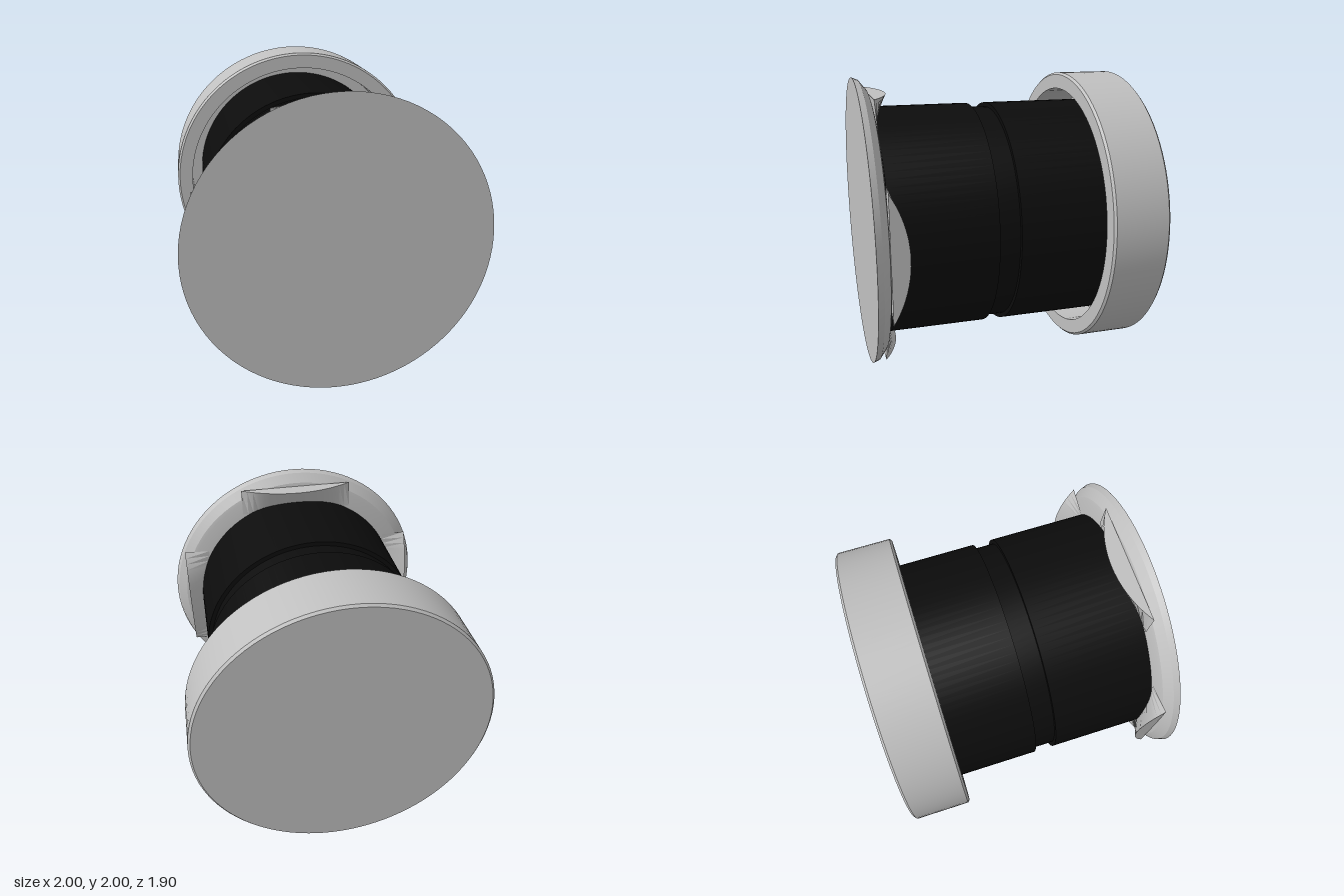
import * as THREE from 'three';
import { toCreasedNormals } from 'three/addons/utils/BufferGeometryUtils.js';

const SEGMENTS = 96;

// Solid of revolution about the z axis; the profile is [radius, z] running from back to front
function turned(name, profile, material) {
  const points = profile.map(([r, z]) => new THREE.Vector2(r, z));
  const geometry = new THREE.LatheGeometry(points, SEGMENTS);
  geometry.rotateX(Math.PI / 2);
  const mesh = new THREE.Mesh(toCreasedNormals(geometry, 0.4), material);
  mesh.name = name;
  return mesh;
}

// Wedge-shaped tab: flat outer face with an arched rear edge, sloping in towards the barrel
function tabGeometry() {
  const half = 0.42, sag = 0.12, base = 0.855, steps = 20;
  const radius = (half * half + sag * sag) / (2 * sag);
  const positions = [], indices = [];
  for (let i = 0; i <= steps; i++) {
    const x = -half + (2 * half * i) / steps;
    const rise = Math.sqrt(radius * radius - x * x) - (radius - sag);
    positions.push(x, 0.9, base, x, 0.9, base - rise, x, 0.71, base - 0.015);
    if (i === steps) break;
    for (let k = 0; k < 3; k++) {
      const a = i * 3 + k, b = i * 3 + ((k + 1) % 3);
      indices.push(a, a + 3, b, b, a + 3, b + 3);
    }
  }
  const geometry = new THREE.BufferGeometry();
  geometry.setAttribute('position', new THREE.Float32BufferAttribute(positions, 3));
  geometry.setIndex(indices);
  return toCreasedNormals(geometry, 0.4);
}

export function createModel() {
  const grey = new THREE.MeshStandardMaterial({ color: 0xc0c0c0, side: THREE.DoubleSide });
  grey.name = 'light grey';
  const black = new THREE.MeshStandardMaterial({ color: 0x0c0c0c });
  black.name = 'black';

  const model = new THREE.Group();
  model.name = 'spool';

  // Barrel with a shallow groove around the middle
  model.add(turned('barrel', [
    [0, -0.86], [0.8, -0.86], [0.8, 0], [0.77, 0], [0.77, 0.145], [0.8, 0.145], [0.8, 0.84], [0, 0.84],
  ], black));

  // Hollow rear cap, open towards the barrel
  model.add(turned('rearCap', [
    [0, -0.95], [0.985, -0.95], [1, -0.935], [1, -0.565], [0.985, -0.55],
    [0.885, -0.55], [0.885, -0.85], [0, -0.85],
  ], grey));

  // Front plate with a bevelled back
  model.add(turned('frontPlate', [
    [0, 0.835], [0.74, 0.835], [0.9, 0.855], [0.925, 0.862], [0.985, 0.91], [1, 0.95], [0, 0.95],
  ], grey));

  // Four tabs behind the front plate
  const tab = tabGeometry();
  for (let i = 0; i < 4; i++) {
    const mesh = new THREE.Mesh(tab, grey);
    mesh.name = 'tab' + (i + 1);
    mesh.rotation.z = (i * Math.PI) / 2;
    model.add(mesh);
  }

  // Rest on the ground
  for (const part of model.children) part.position.y = 1;
  return model;
}
